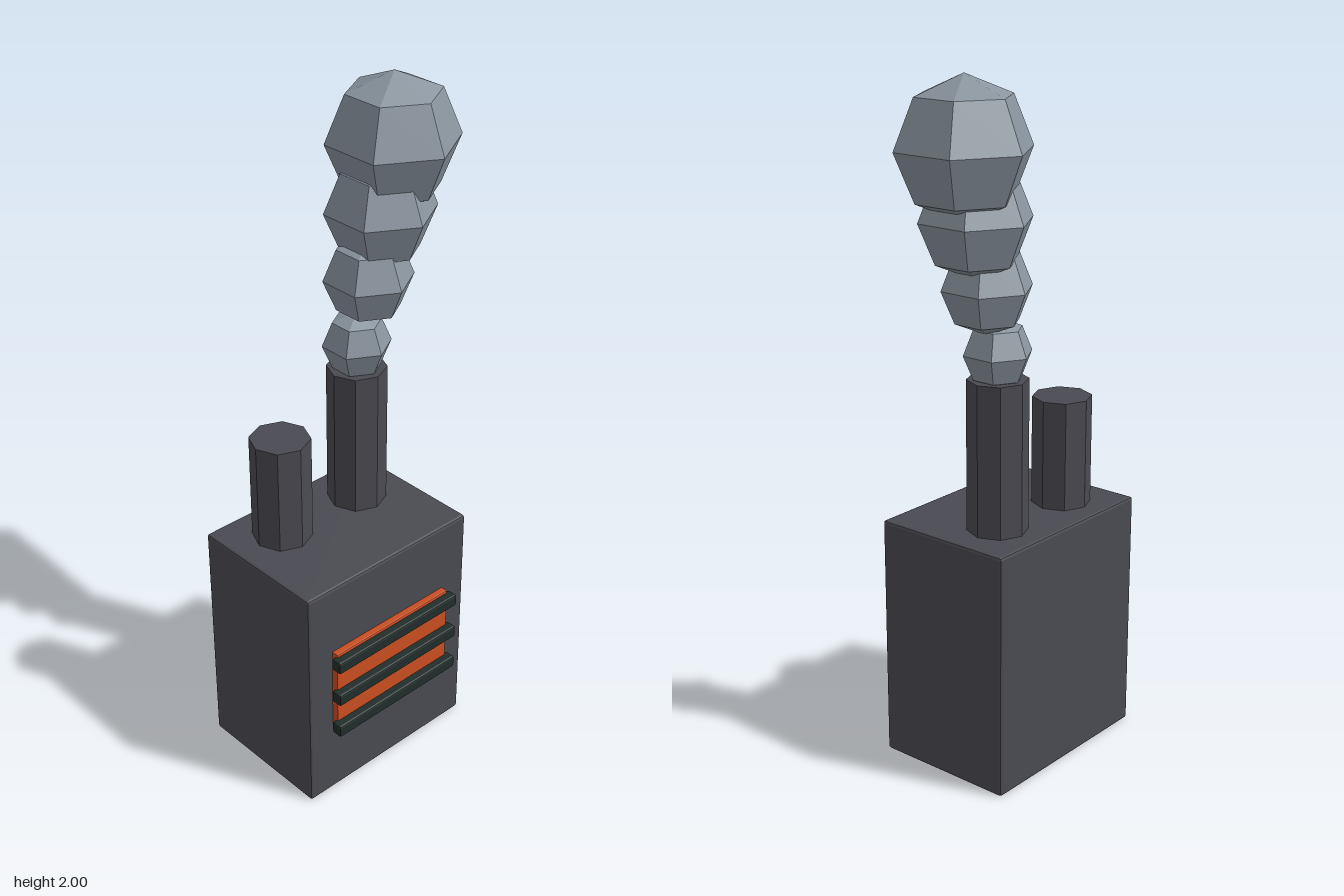
import * as THREE from 'three';
import { RoundedBoxGeometry } from 'three/addons/geometries/RoundedBoxGeometry.js';

const material = (name, color) => {
  const m = new THREE.MeshStandardMaterial({ color, flatShading: true });
  m.name = name;
  return m;
};

export function createModel() {
  const model = new THREE.Group();
  model.name = 'furnace';

  const iron = material('dark iron', 0x4a4a52);
  const fire = material('glowing orange', 0xcc4e20);
  const bar = material('black green iron', 0x212e2b);
  const smoke = material('smoke grey', 0x8a959f);

  const add = (name, geometry, mat, x, y, z) => {
    const mesh = new THREE.Mesh(geometry, mat);
    mesh.name = name;
    mesh.position.set(x, y, z);
    model.add(mesh);
    return mesh;
  };

  // Box with a narrow chamfer on every edge
  const chamferBox = (w, h, d, r) => new RoundedBoxGeometry(w, h, d, 1, r);

  // Furnace body
  const bodyX = -0.069;
  add('body', chamferBox(0.61, 0.73, 0.436, 0.008), iron, bodyX, 0.365, -0.003);

  // Fire opening with three grate bars
  add('fireOpening', chamferBox(0.437, 0.29, 0.044, 0.004), fire, bodyX, 0.367, 0.214);
  for (const y of [0.251, 0.367, 0.484]) {
    add('grateBar', chamferBox(0.465, 0.038, 0.035, 0.006), bar, bodyX, y, 0.245);
  }

  // Octagonal chimneys, slightly sunk into the body
  const chimneyZ = -0.076;
  for (const [name, x, top] of [['shortChimney', -0.213, 1.053], ['tallChimney', 0.076, 1.17]]) {
    const bottom = 0.71;
    add(name, new THREE.CylinderGeometry(0.087, 0.087, top - bottom, 8), iron,
      x, (top + bottom) / 2, chimneyZ);
  }

  // Smoke puffs grow as they drift up and sideways
  for (let i = 0; i < 4; i++) {
    const puff = add('smokePuff', new THREE.SphereGeometry(0.1 + 0.03 * i, 6, 4), smoke,
      0.076 + 0.0443 * i, 1.243 + 0.189 * i, chimneyZ);
    puff.rotation.y = Math.PI / 2;
  }

  return model;
}
